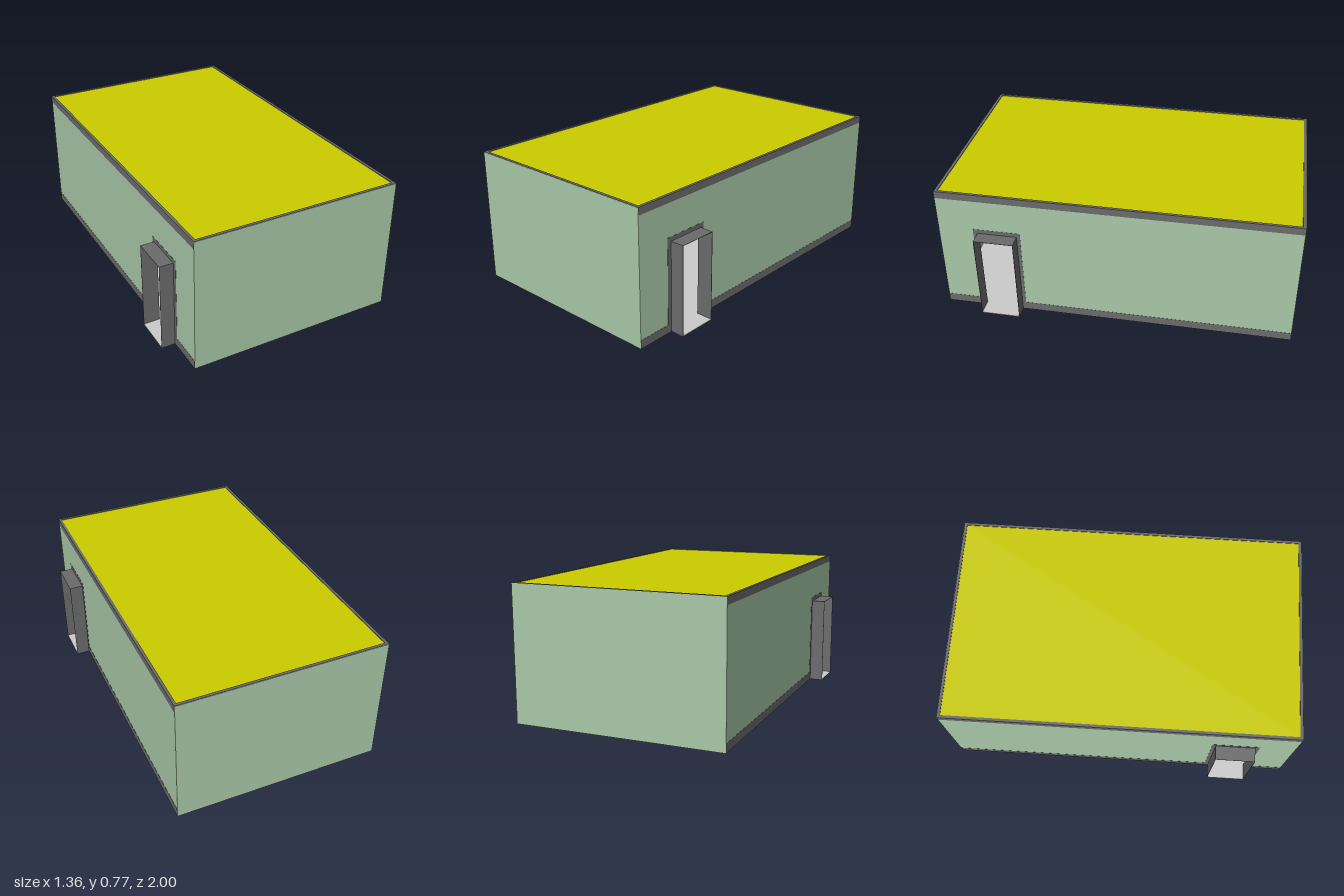
import * as THREE from 'three';

const W = 0.6, L = 1, H = 0.765, T = 0.015;          // half width, half length, height, wall thickness
const OUT = { a: 0.53, b: 0.8, h: 0.54 };            // doorway in the wall
const IN = { a: 0.55, b: 0.775, h: 0.515 };          // clear opening

const mat = (color) => new THREE.MeshStandardMaterial({ color, side: THREE.DoubleSide, flatShading: true });

export function createModel() {
  const group = new THREE.Group();
  const green = mat(0xa8c8a8), dark = mat(0x6b6b6b), yellow = mat(0xcccc00), pale = mat(0xcccccc);

  const add = (name, geometry, material, x = 0, y = 0, z = 0) => {
    const mesh = new THREE.Mesh(geometry, material);
    mesh.name = name;
    mesh.position.set(x, y, z);
    group.add(mesh);
    return mesh;
  };
  const box = (name, material, x0, x1, y0, y1, z0, z1) =>
    add(name, new THREE.BoxGeometry(Math.abs(x1 - x0), y1 - y0, z1 - z0), material,
      (x0 + x1) / 2, (y0 + y1) / 2, (z0 + z1) / 2);

  // Extrude a (z, y) outline through the thickness of a side wall
  const sidePanel = (name, points, material, side, proud, depth) => {
    const shape = new THREE.Shape(points.map(([z, y]) => new THREE.Vector2(z, y)));
    const geometry = new THREE.ExtrudeGeometry(shape, { depth, bevelEnabled: false });
    geometry.rotateY(-Math.PI / 2);
    add(name, geometry, material, side > 0 ? W + proud : -W - proud + depth);
  };

  // End walls
  box('frontWall', green, -W, W, 0, H, L - T, L);
  box('backWall', green, -W, W, 0, H, -L, -L + T);

  for (const s of [1, -1]) {
    const side = s > 0 ? 'right' : 'left';

    // Long wall with a doorway cut up from the ground
    sidePanel(side + 'Wall', [
      [-L + T, 0], [OUT.a, 0], [OUT.a, OUT.h], [OUT.b, OUT.h], [OUT.b, 0],
      [L - T, 0], [L - T, H - 0.003], [-L + T, H - 0.003],
    ], green, s, 0, T);

    // Flush door frame
    sidePanel(side + 'DoorFrame', [
      [OUT.a, 0], [IN.a, 0], [IN.a, IN.h], [IN.b, IN.h], [IN.b, 0],
      [OUT.b, 0], [OUT.b, OUT.h], [OUT.a, OUT.h],
    ], dark, s, 0.001, T + 0.002);

    // Skirting on both sides of the door
    for (const [z0, z1] of [[-L + 0.001, OUT.a], [OUT.b, L - 0.001]])
      box(side + 'Skirting', dark, s * (W - T), s * (W + 0.001), 0.001, 0.05, z0, z1);

    // Thin porch sheets standing out from the door, open at both ends
    const d = 0.08, t = 0.002, x0 = s * (W - T), x1 = s * (W + d);
    box(side + 'PorchBackSheet', dark, x0, x1, 0, IN.h, IN.a, IN.a + t);
    box(side + 'PorchFrontSheet', dark, x0, x1, 0, IN.h, IN.b - t, IN.b);
    box(side + 'PorchRoof', dark, x0, x1, IN.h - t, IN.h, IN.a, IN.b);
    box(side + 'PorchBase', dark, x0, x1, 0, 0.003, IN.a, IN.b);
    box(side + 'PorchFloor', pale, x0, x1, 0.003, 0.005, IN.a + t, IN.b - t);
  }

  // Base slab with a pale floor on top
  box('baseSlab', dark, -W + T, W - T, 0, 0.003, -L + T, L - T);
  box('floor', pale, -W + T, W - T, 0.003, 0.005, -L + T, L - T);

  // Dark rim around the roof edge
  const rx = W + 0.001, rz = L - 0.002;
  const rim = new THREE.Shape([[-rx, -rz], [rx, -rz], [rx, rz], [-rx, rz]].map((p) => new THREE.Vector2(...p)));
  const hx = W - T, hz = L - 0.018;
  rim.holes.push(new THREE.Path([[-hx, -hz], [-hx, hz], [hx, hz], [hx, -hz]].map((p) => new THREE.Vector2(...p))));
  const rimGeometry = new THREE.ExtrudeGeometry(rim, { depth: 0.042, bevelEnabled: false });
  rimGeometry.rotateX(-Math.PI / 2);
  add('roofRim', rimGeometry, dark, 0, 0.725, 0);

  // Flat roof set inside the rim
  box('roof', yellow, -hx, hx, 0.745, 0.763, -hz, hz);
  return group;
}
